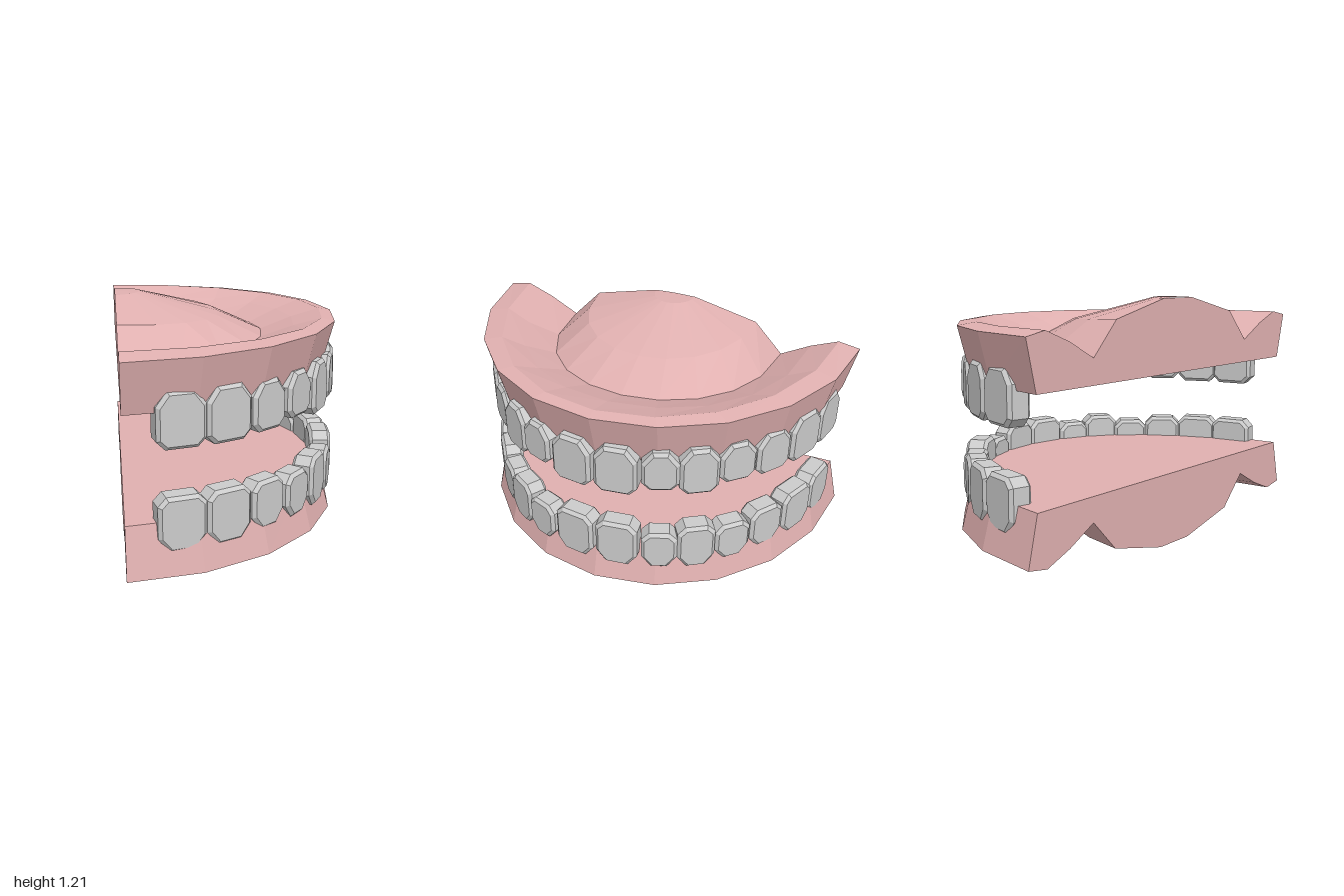
import * as THREE from 'three';

const BACK = -0.555; // x of the flat cut face
const SEGMENTS = 10;

// Gum rings from the flat biting side, round the rim, to the palate:
// [radius x, radius z, y at the cut, y at the front, roundness power]
const RINGS = [
  [0, 0, 0.85, 0.85, 1],
  [1.04, 0.945, 0.85, 0.85, 1],
  [1.105, 1, 1.085, 1.09, 1],
  [1.045, 0.89, 1.105, 1.1, 1],
  [0.9, 0.75, 1.05, 1.06, 0.83],
  [0.74, 0.6, 0.97, 1.0, 0.83],
  [0.52, 0.45, 1.127, 1.1, 0.9],
  [0.125, 0.11, 1.207, 1.21, 1],
  [0, 0, 1.21, 1.21, 1],
];

// Teeth from the front middle to the back: [x, z, width, bottom y, top y] of the outer face
const TEETH = [
  [0.535, 0.115, 0.212, 0.68, 0.94],
  [0.482, 0.325, 0.178, 0.72, 0.935],
  [0.395, 0.49, 0.19, 0.69, 0.943],
  [0.265, 0.637, 0.188, 0.72, 0.935],
  [0.103, 0.765, 0.198, 0.70, 0.932],
  [-0.09, 0.873, 0.222, 0.69, 0.944],
  [-0.303, 0.938, 0.222, 0.69, 0.944],
];

const gumMaterial = new THREE.MeshStandardMaterial({ color: 0xe0b0b0, flatShading: true });
const toothMaterial = new THREE.MeshStandardMaterial({ color: 0xcccccc, flatShading: true });

// Half-round gum body swept through the rings
function gumGeometry() {
  const positions = [];
  const index = [];
  for (const [rx, rz, yCut, yFront, power] of RINGS) {
    for (let i = 0; i <= SEGMENTS; i++) {
      const a = (i / SEGMENTS) * Math.PI;
      const s = Math.max(0, Math.sin(a));
      positions.push(BACK + rx * Math.pow(s, power), yCut + (yFront - yCut) * s, rz * Math.cos(a));
    }
  }
  const row = SEGMENTS + 1;
  for (let j = 0; j < RINGS.length - 1; j++) {
    for (let i = 0; i < SEGMENTS; i++) {
      const a = j * row + i, b = a + 1, c = b + row, d = a + row;
      if (j < RINGS.length - 2) index.push(a, c, d);
      if (j > 0) index.push(a, b, c);
      if (j === RINGS.length - 2) index.push(a, b, d);
    }
  }
  const geometry = new THREE.BufferGeometry();
  geometry.setAttribute('position', new THREE.Float32BufferAttribute(positions, 3));
  geometry.setIndex(index);
  const flat = geometry.toNonIndexed();
  flat.computeVertexNormals();
  return flat;
}

// Flat face closing the back of the gum
function cutFaceGeometry() {
  const side = RINGS.slice(1, -1).map(([, rz, y]) => new THREE.Vector2(rz, y));
  const other = side.map((p) => new THREE.Vector2(-p.x, p.y)).reverse();
  return new THREE.ShapeGeometry(new THREE.Shape([...side, ...other]))
    .rotateY(-Math.PI / 2)
    .translate(BACK, 0, 0);
}

// Bevelled block with cut corners; its outer face lies at z = 0
function toothGeometry(width, height) {
  const bevel = 0.016, depth = 0.11;
  const w = width / 2 - bevel, h = height / 2 - bevel;
  const cx = 0.042, cyTop = 0.055, cyBottom = 0.03;
  const shape = new THREE.Shape([
    [-w + cx * 0.7, -h], [w - cx * 0.7, -h], [w, -h + cyBottom], [w, h - cyTop],
    [w - cx, h], [-w + cx, h], [-w, h - cyTop], [-w, -h + cyBottom],
  ].map(([x, y]) => new THREE.Vector2(x, y)));
  return new THREE.ExtrudeGeometry(shape, {
    depth: depth - 2 * bevel,
    bevelEnabled: true, bevelSegments: 1, bevelSize: bevel, bevelThickness: bevel,
  }).translate(0, 0, bevel - depth);
}

function createGum(name) {
  const gum = new THREE.Group();
  gum.name = name;
  const body = new THREE.Mesh(gumGeometry(), gumMaterial);
  body.name = 'gumBody';
  const cut = new THREE.Mesh(cutFaceGeometry(), gumMaterial);
  cut.name = 'gumCutFace';
  gum.add(body, cut);
  return gum;
}

function createTeeth(name) {
  const teeth = new THREE.Group();
  teeth.name = name;
  TEETH.forEach(([x, z, width, y0, y1], i) => {
    const geometry = toothGeometry(width, y1 - y0);
    for (const side of [1, -1]) {
      const tooth = new THREE.Mesh(geometry, toothMaterial);
      tooth.name = `${side > 0 ? 'left' : 'right'}Tooth${i + 1}`;
      tooth.position.set(x, (y0 + y1) / 2, side * z);
      tooth.rotation.y = Math.atan2((x - BACK) / 1.21, side * z);
      teeth.add(tooth);
    }
  });
  return teeth;
}

export function createModel() {
  const model = new THREE.Group();
  model.name = 'dentures';
  model.add(createGum('upperGum'), createTeeth('upperTeeth'));

  // Lower jaw: the upper one turned over
  const lowerGum = createGum('lowerGum');
  lowerGum.rotation.x = Math.PI;
  lowerGum.position.y = 1.21;
  const lowerTeeth = createTeeth('lowerTeeth');
  lowerTeeth.rotation.x = Math.PI;
  lowerTeeth.position.y = 1.168;
  model.add(lowerGum, lowerTeeth);
  return model;
}
